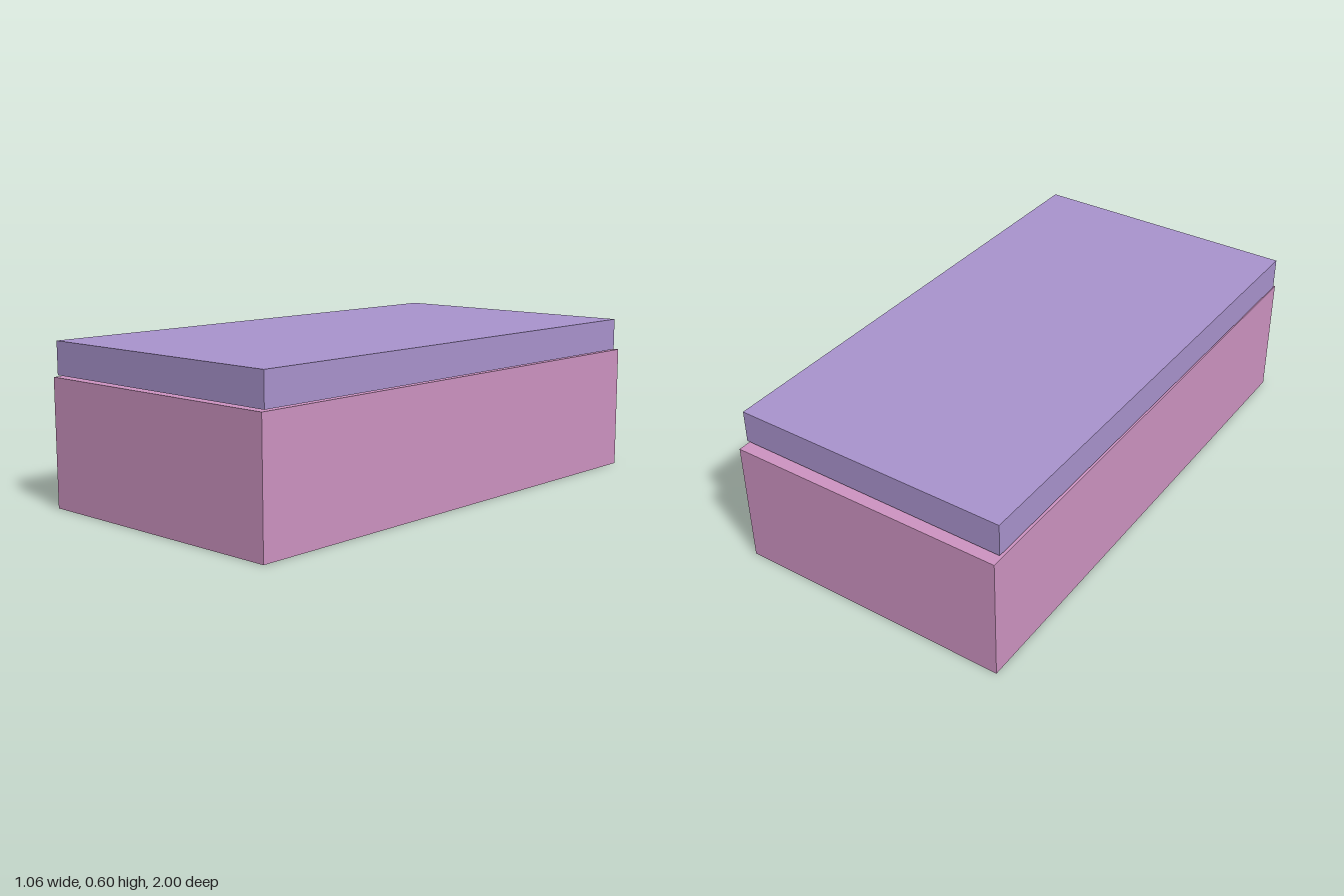
import * as THREE from 'three';

// Box spanning two opposite corners
function slab(name, min, max, color) {
  const size = max.map((v, i) => v - min[i]);
  const mesh = new THREE.Mesh(
    new THREE.BoxGeometry(...size),
    new THREE.MeshStandardMaterial({ color })
  );
  mesh.position.set(...min.map((v, i) => (v + max[i]) / 2));
  mesh.name = name;
  return mesh;
}

export function createModel() {
  const model = new THREE.Group();
  model.name = 'liddedBox';

  // Deep lower box
  model.add(slab('base', [-0.53, 0, -1], [0.524, 0.473, 1], 0xcc92c0));

  // Shallow lid floating just above, set forward and very slightly turned
  const lid = slab('lid', [-0.526, 0.478, -0.957], [0.526, 0.6, 0.985], 0xa892cc);
  lid.rotation.y = -0.004;
  model.add(lid);

  return model;
}
